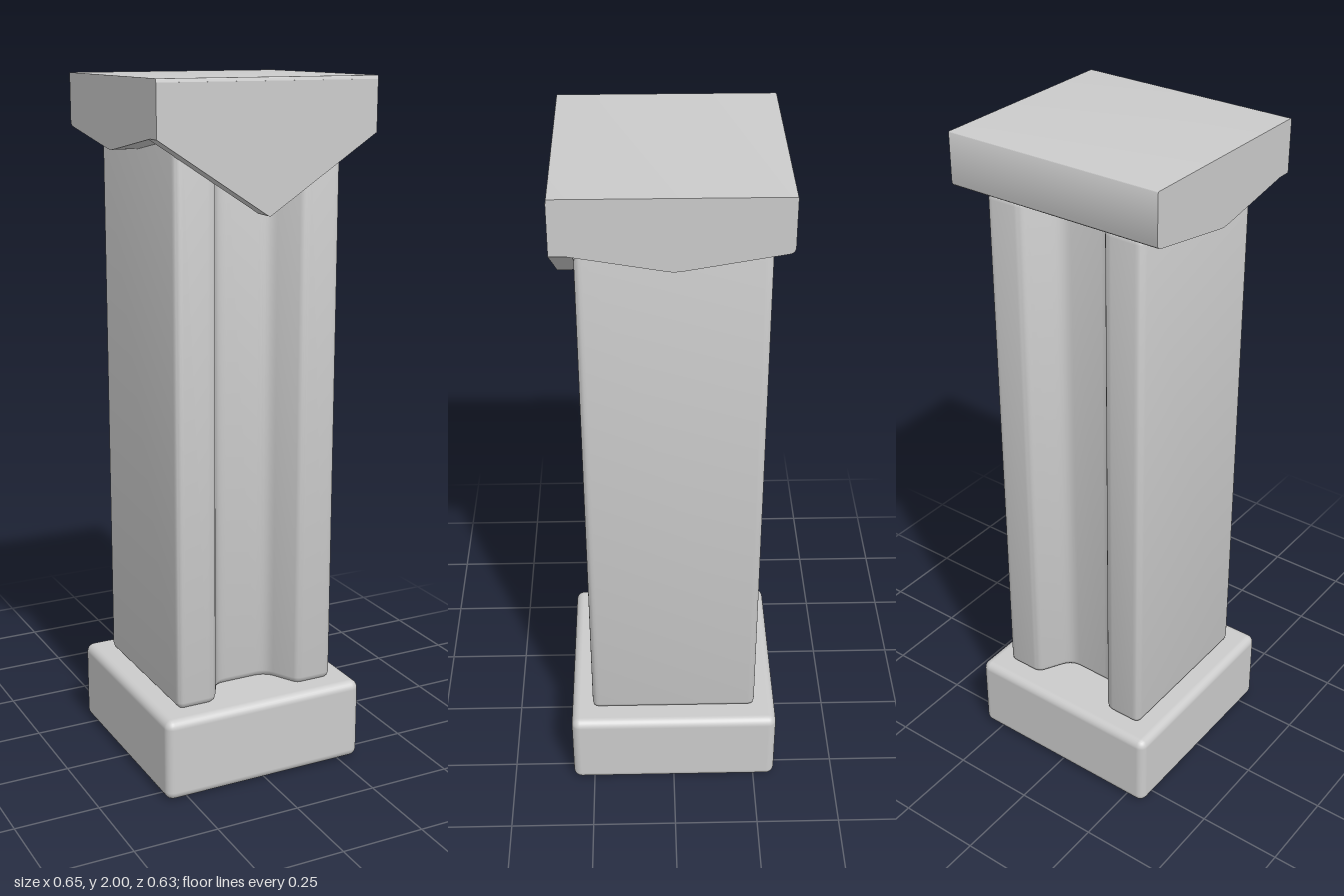
import * as THREE from 'three';
import { RoundedBoxGeometry } from 'three/addons/geometries/RoundedBoxGeometry.js';
import { toCreasedNormals } from 'three/addons/utils/BufferGeometryUtils.js';

const material = new THREE.MeshStandardMaterial({ color: 0xcccccc });

// Closed outline whose corners [x, y, radius] are softened.
function softShape(points) {
  const shape = new THREE.Shape();
  const n = points.length;
  points.forEach(([x, y, r], i) => {
    const corner = new THREE.Vector2(x, y);
    const toward = ([px, py]) =>
      new THREE.Vector2(px, py).sub(corner).setLength(r).add(corner);
    const a = toward(points[(i + n - 1) % n]);
    const b = toward(points[(i + 1) % n]);
    if (i === 0) shape.moveTo(a.x, a.y);
    else shape.lineTo(a.x, a.y);
    if (r > 0) shape.quadraticCurveTo(x, y, b.x, b.y);
  });
  shape.closePath();
  return shape;
}

function addMesh(group, name, geometry) {
  const mesh = new THREE.Mesh(geometry, material);
  mesh.name = name;
  group.add(mesh);
  return mesh;
}

export function createModel() {
  const model = new THREE.Group();
  model.name = 'pillar';

  // Square base block with rounded edges
  addMesh(model, 'base', new RoundedBoxGeometry(0.63, 0.245, 0.63, 3, 0.025))
    .position.y = 0.1225;

  // Shaft: square section with a sloped groove in the front and back
  const half = [
    [0.25, -0.25, 0.022], [0.25, 0.25, 0.022],
    [0.135, 0.25, 0.02], [0.08, 0.15, 0.03],
    [-0.08, 0.15, 0.03], [-0.135, 0.25, 0.02],
  ];
  const section = [...half, ...half.map(([x, y, r]) => [-x, -y, r])];
  const bevel = 0.02;
  const shaft = new THREE.ExtrudeGeometry(softShape(section), {
    depth: 1.6 - 2 * bevel, curveSegments: 5,
    bevelEnabled: true, bevelThickness: bevel, bevelSize: bevel,
    bevelOffset: -bevel, bevelSegments: 3,
  });
  shaft.rotateX(-Math.PI / 2).translate(0, 0.243 + bevel, 0);
  addMesh(model, 'shaft', toCreasedNormals(shaft, 0.7));

  // Capital: slab with a shallow V underside, its profile running along x
  const profile = [
    [-0.305, 2, 0.004], [-0.305, 1.857, 0.01], [0, 1.803, 0.02],
    [0.293, 1.853, 0.015], [0.293, 2, 0.004],
  ];
  const slab = new THREE.ExtrudeGeometry(softShape(profile), {
    depth: 0.65, curveSegments: 4, bevelEnabled: false,
  });
  slab.translate(0, 0, -0.325).rotateY(Math.PI / 2);
  addMesh(model, 'capital', toCreasedNormals(slab, 0.6));

  // Pointed front plate hanging over the shaft
  const plate = new THREE.ExtrudeGeometry(softShape([
    [-0.325, 1.99, 0], [-0.325, 1.85, 0], [0, 1.64, 0.006],
    [0.325, 1.85, 0], [0.325, 1.99, 0],
  ]), { depth: 0.058, bevelEnabled: false });
  plate.translate(0, 0, 0.248);
  addMesh(model, 'frontPlate', plate);

  return model;
}
